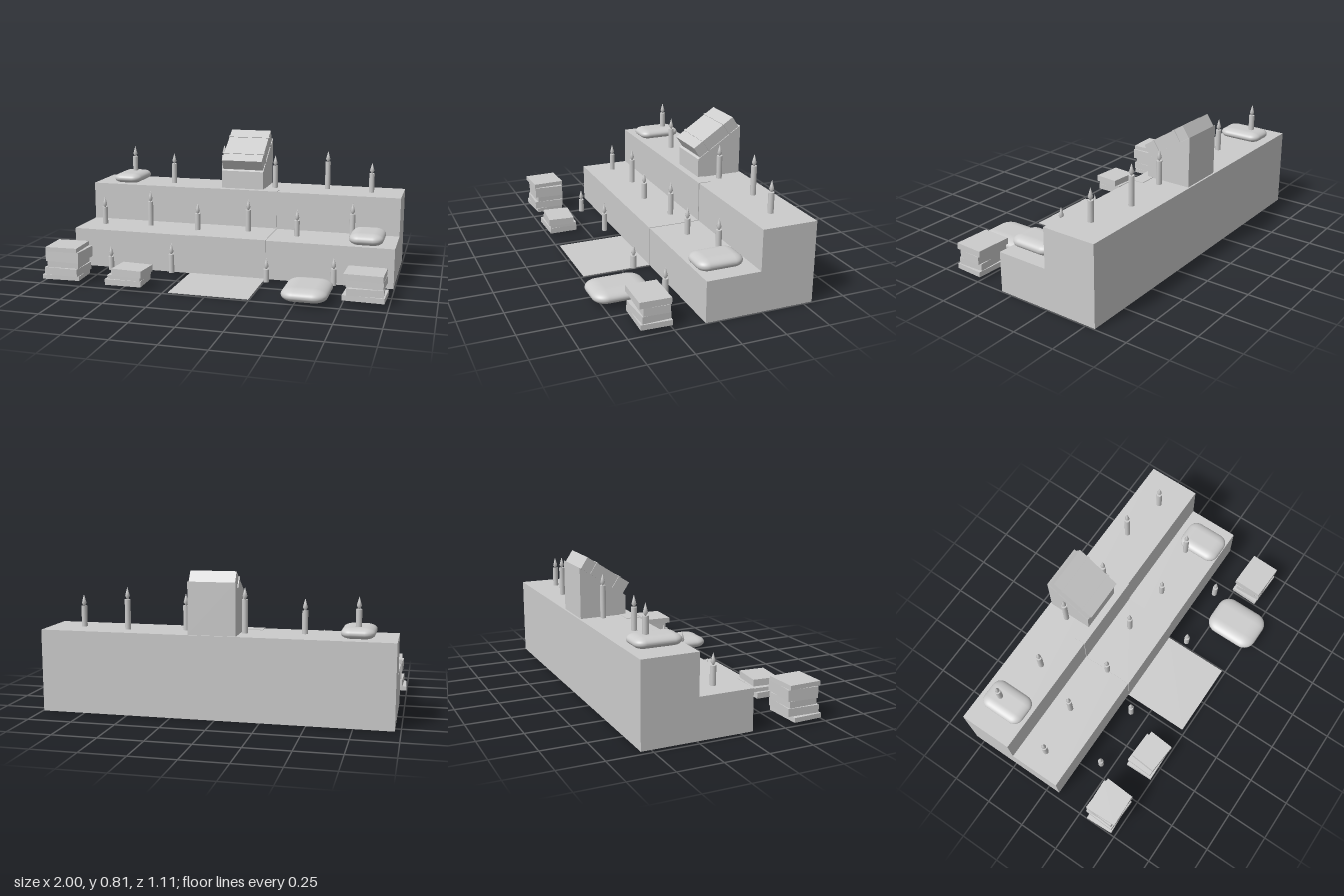
import * as THREE from 'three';
import { RoundedBoxGeometry } from 'three/addons/geometries/RoundedBoxGeometry.js';

const stone = new THREE.MeshStandardMaterial({ color: 0xcccccc });
stone.name = 'plain grey';

export function createModel() {
  const root = new THREE.Group();
  root.name = 'candlelitSteps';

  const add = (parent, name, geometry, x = 0, y = 0, z = 0) => {
    const mesh = new THREE.Mesh(geometry, stone);
    mesh.name = name;
    mesh.position.set(x, y, z);
    parent.add(mesh);
    return mesh;
  };

  // Side profile of [z, y] points, extruded across x between x0 and x1
  const profile = (points, x0, x1) => {
    const shape = new THREE.Shape(points.map(([z, y]) => new THREE.Vector2(z, y)));
    const g = new THREE.ExtrudeGeometry(shape, { depth: x1 - x0, bevelEnabled: false });
    return g.rotateY(-Math.PI / 2).translate(x1, 0, 0);
  };

  // Two broad steps
  add(root, 'steps', profile([
    [-0.555, 0], [0.073, 0], [0.073, 0.234], [-0.238, 0.234], [-0.238, 0.466], [-0.555, 0.466],
  ], -0.968, 0.995));

  // Runner carpet on the floor and over both steps
  add(root, 'runner', profile([
    [0.48, 0], [0.48, 0.003], [0.076, 0.003], [0.076, 0.237], [-0.234, 0.237], [-0.234, 0.469],
    [-0.31, 0.469], [-0.31, 0.466], [-0.238, 0.466], [-0.238, 0.234], [0.073, 0.234], [0.073, 0],
  ], -0.22, 0.245));

  // Sloping lectern with a thick strapped book
  add(root, 'lectern', profile([
    [-0.545, 0.466], [-0.275, 0.466], [-0.275, 0.578], [-0.545, 0.755],
  ], -0.118, 0.147));
  const tome = new THREE.Group();
  tome.name = 'lecternBook';
  tome.position.set(0.015, 0.6985, -0.392);
  tome.rotation.x = 0.585;
  root.add(tome);
  add(tome, 'bookBlock', new THREE.BoxGeometry(0.255, 0.073, 0.296));
  for (const z of [-0.08, 0.078]) {
    add(tome, 'bookStrap', new THREE.BoxGeometry(0.265, 0.079, 0.012), 0, 0, z);
  }

  // Candles: x, z, height of the wax top, grouped by the level they stand on
  const candles = [
    [0.466, [[-0.76, -0.435, 0.62], [-0.465, -0.37, 0.593], [-0.142, -0.42, 0.652],
      [0.2, -0.387, 0.604], [0.525, -0.435, 0.636], [0.804, -0.387, 0.583]]],
    [0.234, [[-0.837, -0.093, 0.342], [-0.542, -0.125, 0.387], [-0.218, -0.08, 0.337],
      [0.091, -0.125, 0.369], [0.4, -0.093, 0.328], [0.726, -0.125, 0.38]]],
    [0.02, [[-0.683, 0.187, 0.102], [-0.31, 0.155, 0.134],
      [0.278, 0.187, 0.096], [0.663, 0.155, 0.118]]],
  ];
  const flame = new THREE.LatheGeometry([
    [0, -0.004], [0.004, 0], [0.014, 0.018], [0.008, 0.04], [0, 0.068],
  ].map(([r, y]) => new THREE.Vector2(r, y)), 8);
  for (const [base, list] of candles) {
    for (const [x, z, top] of list) {
      const candle = new THREE.Group();
      candle.name = 'candle';
      candle.position.set(x, base, z);
      root.add(candle);
      const h = top - base;
      add(candle, 'wax', new THREE.CylinderGeometry(0.0165, 0.0165, h, 12), 0, h / 2, 0);
      add(candle, 'flame', flame, 0, h, 0);
    }
  }

  // Cushions: centre x, base y, centre z, width, height, depth
  for (const [x, y, z, w, h, d] of [
    [-0.76, 0.466, -0.388, 0.182, 0.06, 0.265],
    [0.826, 0.234, -0.058, 0.198, 0.069, 0.264],
    [0.555, 0.018, 0.39, 0.256, 0.076, 0.328],
  ]) {
    const r = w * 0.3;
    const g = new RoundedBoxGeometry(w, 2 * r + 0.004, d, 6, r);
    g.scale(1, h / (2 * r + 0.004), 1);
    add(root, 'cushion', g, x, y + h / 2, z);
  }

  // Book stacks, listed bottom to top: x, z, width, height, depth, turn
  const stacks = [
    [[-0.885, 0.385, 0.225, 0.026, 0.17, 0.05], [-0.875, 0.38, 0.205, 0.044, 0.185, -0.04],
      [-0.873, 0.375, 0.19, 0.036, 0.17, 0.03], [-0.866, 0.38, 0.21, 0.064, 0.18, -0.05],
      [-0.873, 0.385, 0.19, 0.025, 0.19, 0.04]],
    [[-0.49, 0.405, 0.215, 0.034, 0.17, 0.02], [-0.482, 0.4, 0.2, 0.022, 0.165, -0.04],
      [-0.46, 0.412, 0.185, 0.04, 0.155, -0.08]],
    [[0.865, 0.332, 0.23, 0.03, 0.172, -0.04], [0.868, 0.335, 0.2, 0.04, 0.16, 0.04],
      [0.87, 0.327, 0.205, 0.045, 0.145, -0.06], [0.863, 0.336, 0.215, 0.036, 0.175, -0.03]],
  ];
  for (const books of stacks) {
    const stack = new THREE.Group();
    stack.name = 'bookStack';
    root.add(stack);
    let y = 0.02;
    for (const [x, z, w, h, d, turn] of books) {
      add(stack, 'book', new THREE.BoxGeometry(w, h, d), x, y + h / 2, z).rotation.y = turn;
      y += h;
    }
  }
  return root;
}
